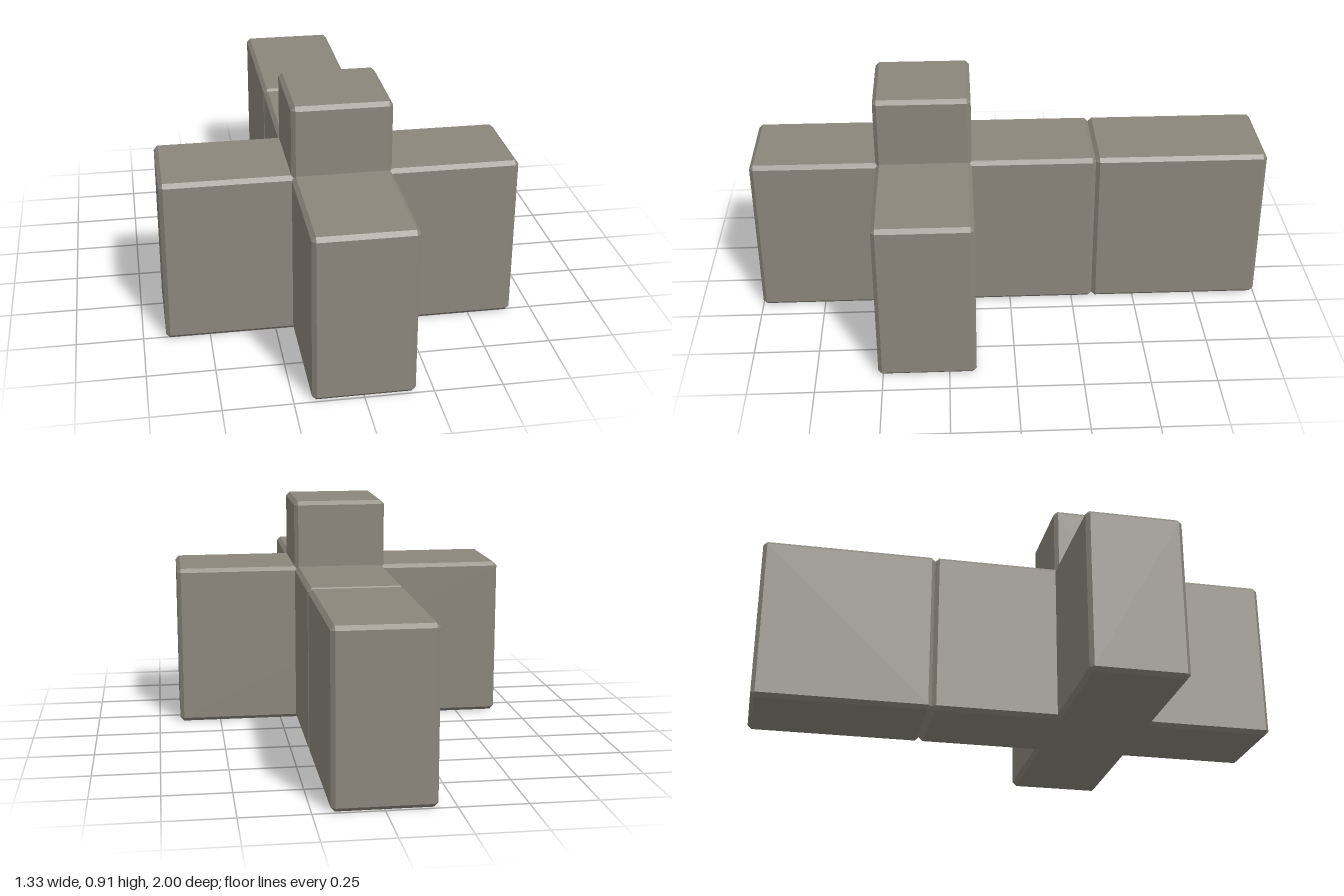
import * as THREE from 'three';
import { ConvexGeometry } from 'three/addons/geometries/ConvexGeometry.js';

const CHAMFER = 0.015;
const material = new THREE.MeshStandardMaterial({ color: 0x8b867c, flatShading: true });

// Box with flat chamfers on all edges: each corner is split into three points
function chamferedBox(name, [x0, x1], [y0, y1], [z0, z1]) {
  const half = [(x1 - x0) / 2, (y1 - y0) / 2, (z1 - z0) / 2];
  const points = [];
  for (const sx of [-1, 1]) for (const sy of [-1, 1]) for (const sz of [-1, 1]) {
    for (let face = 0; face < 3; face++) {
      const [x, y, z] = half.map((h, axis) => (axis === face ? h : h - CHAMFER));
      points.push(new THREE.Vector3(sx * x, sy * y, sz * z));
    }
  }
  const mesh = new THREE.Mesh(new ConvexGeometry(points), material);
  mesh.name = name;
  mesh.position.set((x0 + x1) / 2, (y0 + y1) / 2, (z0 + z1) / 2);
  return mesh;
}

export function createModel() {
  const model = new THREE.Group();
  model.name = 'crossBlocks';
  const width = [-0.185, 0.185];
  const height = [0, 0.64];
  const crossDepth = [0.148, 0.518];

  model.add(
    // Long bar running front to back, and the block that extends it
    chamferedBox('longBar', width, height, [-0.333, 1]),
    chamferedBox('rearBlock', width, height, [-1, -0.333]),
    // Bar across the long one
    chamferedBox('crossBar', [-0.665, 0.665], height, crossDepth),
    // Upright block rising from the crossing
    chamferedBox('upperBlock', width, [0.265, 0.907], crossDepth)
  );
  return model;
}
